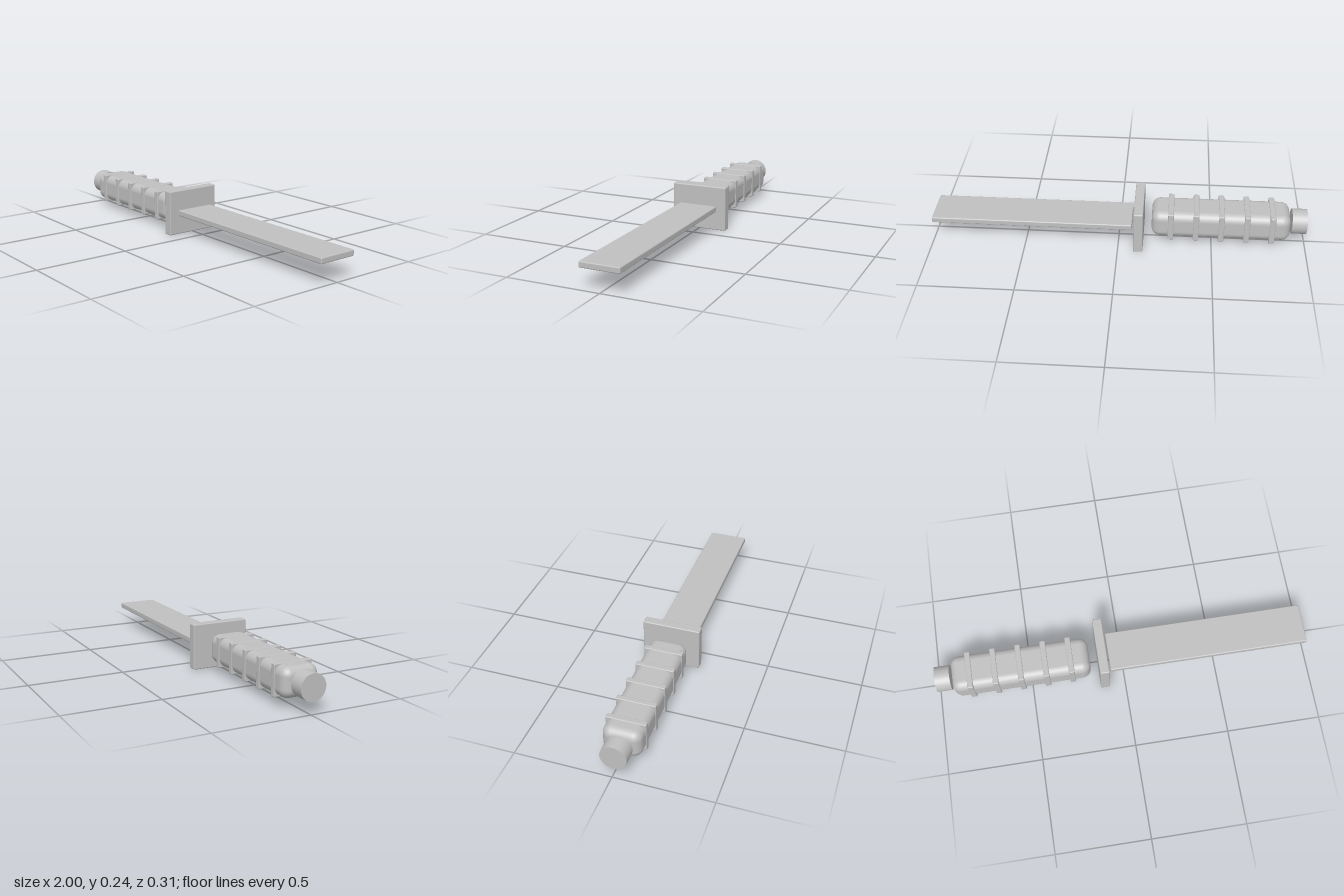
import * as THREE from 'three';
import { RoundedBoxGeometry } from 'three/addons/geometries/RoundedBoxGeometry.js';

export function createModel() {
  const group = new THREE.Group();
  const grey = new THREE.MeshStandardMaterial({ color: 0xc0c0c0 });
  grey.name = 'plainGrey';

  function add(name, geometry, x, y, z) {
    const mesh = new THREE.Mesh(geometry, grey);
    mesh.name = name;
    mesh.position.set(x, y, z);
    group.add(mesh);
    return mesh;
  }

  // Box given by its x range, with softened edges
  function bar(name, x0, x1, height, depth, radius, y, z, segments = 2) {
    const geometry = new RoundedBoxGeometry(x1 - x0, height, depth, segments, radius);
    return add(name, geometry, (x0 + x1) / 2, y, z);
  }

  // Flat blade and cross guard
  bar('blade', -0.073, 1, 0.032, 0.214, 0.006, 0.122, 0);
  bar('guard', -0.134, -0.084, 0.242, 0.308, 0.006, 0.121, 0);

  // Grip with strongly rounded edges
  bar('grip', -0.91, -0.177, 0.152, 0.196, 0.045, 0.124, 0.01, 4);

  // Square bands around the grip, their corners standing proud
  for (let i = 0; i < 5; i++) {
    const x = -0.815 + i * 0.134;
    bar('gripBand', x - 0.015, x + 0.015, 0.16, 0.203, 0.005, 0.124, 0.01);
  }

  // Round pommel
  const pommel = add('pommel', new THREE.CylinderGeometry(0.067, 0.067, 0.08, 40), -0.96, 0.126, 0.01);
  pommel.rotation.z = Math.PI / 2;

  return group;
}
